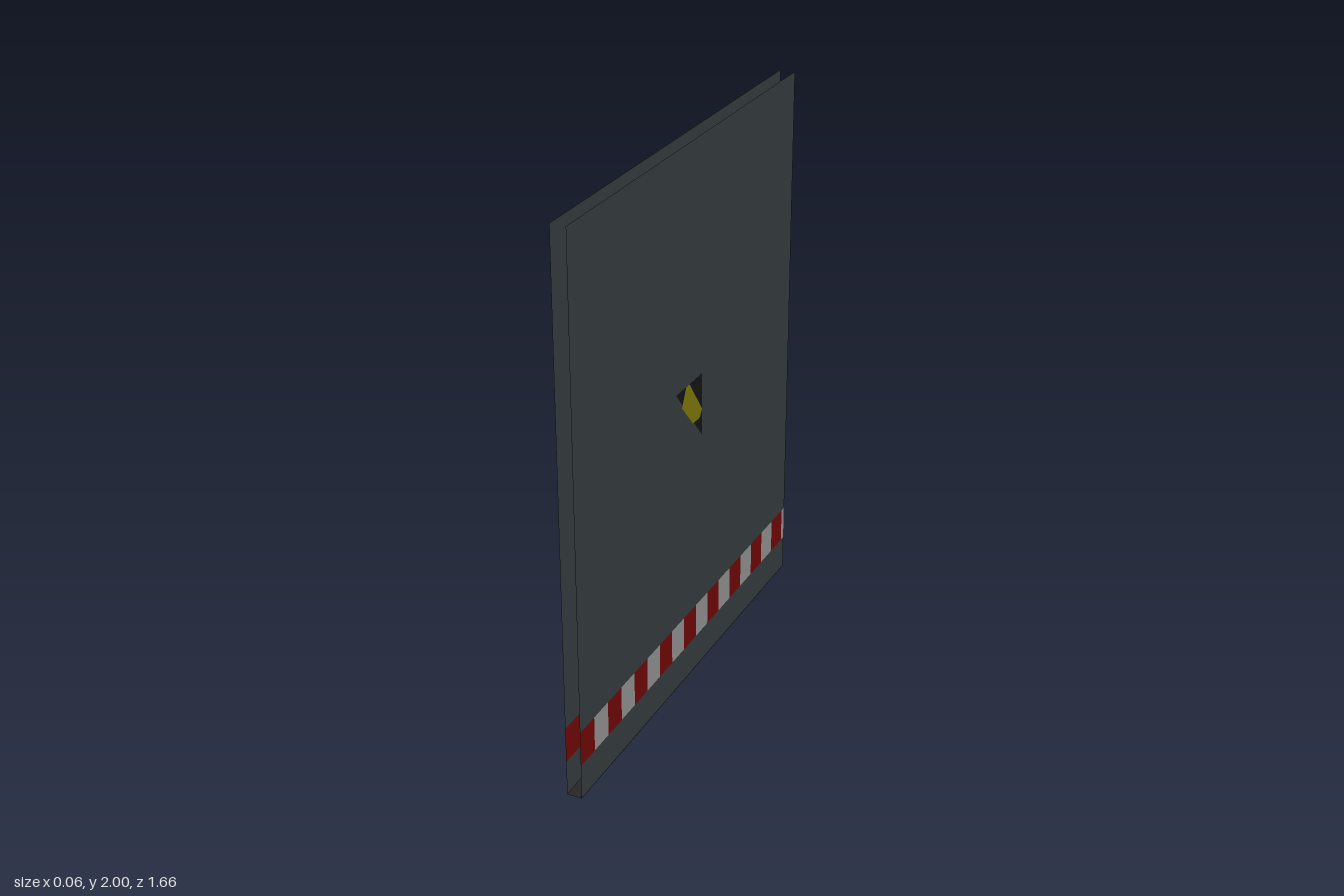
import * as THREE from 'three';

const HALF_LENGTH = 0.83, HEIGHT = 2, SHEET_X = 0.027, LIFT = 0.001;

function material(name, color, side = THREE.FrontSide) {
  const m = new THREE.MeshStandardMaterial({ color, side });
  m.name = name;
  return m;
}

export function createModel() {
  const slate = material('slate grey', 0x586266, THREE.DoubleSide);
  const black = material('black', 0x272727, THREE.DoubleSide);
  const dark = material('sign black', 0x272727);
  const red = material('red', 0xb30f0f);
  const white = material('white', 0xececec);
  const yellow = material('yellow', 0xc8be14);

  const model = new THREE.Group();
  model.name = 'barrierPanel';

  // Flat painted plate from [z, y] points, facing +x (dir 1) or -x (dir -1)
  function plate(name, points, mat, x, dir, parent) {
    const shape = new THREE.Shape(points.map(([z, y]) => new THREE.Vector2(-dir * z, y)));
    const mesh = new THREE.Mesh(new THREE.ShapeGeometry(shape), mat);
    mesh.name = name;
    mesh.rotation.y = dir * Math.PI / 2;
    mesh.position.x = x;
    parent.add(mesh);
  }

  const rect = (z0, z1, y0, y1) => [[z0, y0], [z1, y0], [z1, y1], [z0, y1]];

  // Row of alternating red and white blocks along the whole length
  function stripeBand(name, x, dir, y0, y1) {
    const band = new THREE.Group();
    band.name = name;
    const step = 0.0961;
    for (let i = 0; i * step < 2 * HALF_LENGTH; i++) {
      const z0 = HALF_LENGTH - i * step;
      const z1 = Math.max(z0 - step, -HALF_LENGTH);
      plate(i % 2 ? 'whiteBlock' : 'redBlock', rect(z0, z1, y0, y1), i % 2 ? white : red, x, dir, band);
    }
    model.add(band);
  }

  // Two parallel sheets, open at the ends and top
  for (const s of [1, -1]) {
    const label = s > 0 ? 'left' : 'right';
    plate(label + 'Sheet', rect(-HALF_LENGTH, HALF_LENGTH, 0, HEIGHT), slate, s * SHEET_X, s, model);
    // Low band on faces towards +x, high band on faces towards -x
    stripeBand(label + 'LowStripes', s * SHEET_X + LIFT, 1, 0.13, 0.26);
    stripeBand(label + 'HighStripes', s * SHEET_X - LIFT, -1, 1.74, 1.87);
  }

  // Bottom strip joining the sheets
  const base = new THREE.Mesh(new THREE.PlaneGeometry(2 * SHEET_X + 2 * LIFT, 2 * HALF_LENGTH), black);
  base.name = 'bottomStrip';
  base.rotation.x = -Math.PI / 2;
  model.add(base);

  // Triangular sign with yellow band on the left face
  plate('leftSign', [[0.12, 1.155], [-0.08, 1.155], [-0.08, 0.92]], dark, SHEET_X + LIFT / 2, 1, model);
  plate('leftSignBand', [[0.045, 1.155], [0.02, 1.155], [-0.08, 1.02], [-0.06, 0.995],
    [-0.008, 0.995], [0.077, 1.09]], yellow, SHEET_X + LIFT, 1, model);

  // Smaller sign on the right face
  plate('rightSign', [[0.15, 1.07], [0.15, 0.86], [-0.006, 0.866]], dark, -SHEET_X - LIFT / 2, -1, model);
  plate('rightSignBand', [[-0.006, 0.866], [0.083, 0.862], [0.083, 0.98]], yellow, -SHEET_X - LIFT, -1, model);

  return model;
}
